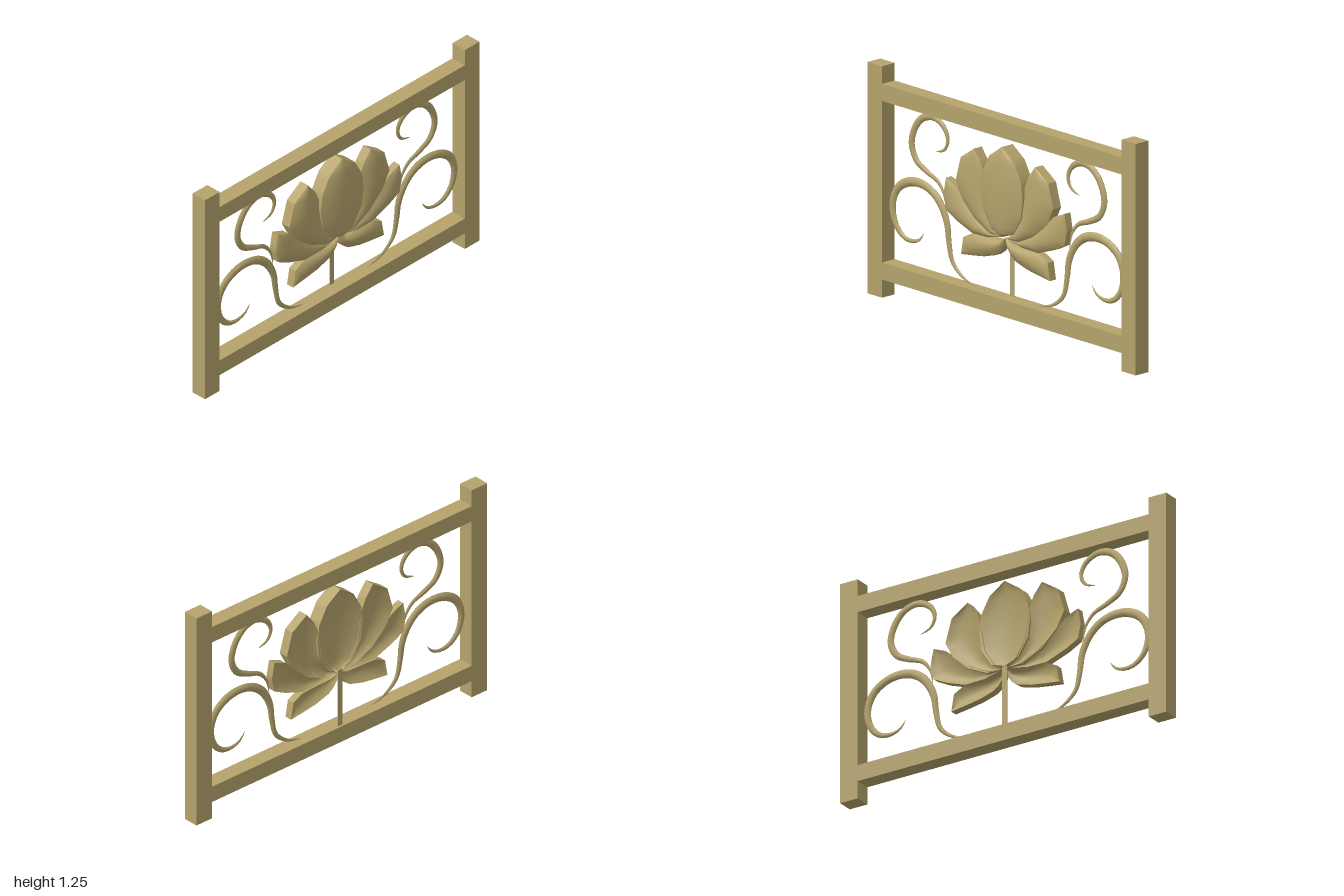
import * as THREE from 'three';
import { toCreasedNormals } from 'three/addons/utils/BufferGeometryUtils.js';

const material = new THREE.MeshStandardMaterial({ color: 0xb5a36c });

// Non-indexed geometry from a list of quads, dropping collapsed triangles
function fromQuads(quads, crease) {
  const pos = [];
  const tri = (a, b, c) => {
    const area = b.clone().sub(a).cross(c.clone().sub(a)).length();
    if (area > 1e-9) for (const p of [a, b, c]) pos.push(p.x, p.y, p.z);
  };
  for (const [a, b, c, d] of quads) { tri(a, b, c); tri(a, c, d); }
  const g = new THREE.BufferGeometry();
  g.setAttribute('position', new THREE.Float32BufferAttribute(pos, 3));
  return toCreasedNormals(g, crease);
}

// Cupped petal: thick sheet between two edges that run from base to tip
function petalGeometry(left, right, back, front, bulge) {
  const sub = 3, cols = 10, rows = (left.length - 1) * sub;
  const along = (edge, i) => {
    const k = Math.min(Math.floor(i / sub), edge.length - 2), f = i / sub - k;
    return edge[k].map((v, n) => v + (edge[k + 1][n] - v) * f);
  };
  const grid = (z0) => Array.from({ length: rows + 1 }, (_, i) => {
    const a = along(left, i), b = along(right, i);
    const swell = bulge * Math.pow(Math.max(0, Math.sin(Math.PI * i / rows)), 0.7);
    return Array.from({ length: cols + 1 }, (_, j) => {
      const f = j / cols, u = 2 * f - 1;
      return new THREE.Vector3(a[0] + (b[0] - a[0]) * f, a[1] + (b[1] - a[1]) * f, z0 + swell * (1 - u * u));
    });
  });
  const F = grid(front), B = grid(back), quads = [];
  for (let i = 0; i < rows; i++) {
    for (let j = 0; j < cols; j++) {
      quads.push([F[i][j], F[i][j + 1], F[i + 1][j + 1], F[i + 1][j]]);
      quads.push([B[i][j], B[i + 1][j], B[i + 1][j + 1], B[i][j + 1]]);
    }
    quads.push([B[i][0], F[i][0], F[i + 1][0], B[i + 1][0]]);
    quads.push([F[i][cols], B[i][cols], B[i + 1][cols], F[i + 1][cols]]);
  }
  return fromQuads(quads, 0.6);
}

// Tapered scroll: flattened oval section swept along a planar curve
function scrollGeometry(points, width) {
  const curve = new THREE.CatmullRomCurve3(points.map(([x, y]) => new THREE.Vector3(x, y, 0)), false, 'centripetal');
  const steps = 48, sides = 8, rings = [];
  for (let i = 0; i <= steps; i++) {
    const t = i / steps, p = curve.getPointAt(t), d = curve.getTangentAt(t);
    const r = width / 2 * Math.pow(Math.max(0, Math.sin(Math.PI * Math.pow(t, 1.1))), 0.65);
    rings.push(Array.from({ length: sides }, (_, j) => {
      const a = j / sides * Math.PI * 2, n = Math.cos(a) * r;
      return new THREE.Vector3(p.x - d.y * n, p.y + d.x * n, Math.sin(a) * r * 0.55);
    }));
  }
  const quads = [];
  for (let i = 0; i < steps; i++) for (let j = 0; j < sides; j++) {
    const k = (j + 1) % sides;
    quads.push([rings[i][j], rings[i][k], rings[i + 1][k], rings[i + 1][j]]);
  }
  return fromQuads(quads, 0.8);
}

export function createModel() {
  const model = new THREE.Group();
  model.name = 'lotusPanel';
  const panel = new THREE.Group();
  panel.name = 'panel';
  panel.rotation.y = 0.193;
  model.add(panel);

  const add = (name, geometry, x = 0, y = 0, z = 0) => {
    const mesh = new THREE.Mesh(geometry, material);
    mesh.name = name;
    mesh.position.set(x, y, z);
    panel.add(mesh);
  };
  const flip = (pts) => pts.map(([x, y]) => [-x, y]);

  // Frame
  const depth = 0.09, half = 1.01, post = 0.108;
  for (const s of [1, -1]) {
    add(s > 0 ? 'leftPost' : 'rightPost', new THREE.BoxGeometry(post, 1.247, depth), s * (half - post / 2), 0.6235, 0);
  }
  const railLength = 2 * (half - post);
  add('bottomRail', new THREE.BoxGeometry(railLength, 0.092, depth), 0, 0.144, 0);
  add('topRail', new THREE.BoxGeometry(railLength, 0.092, depth), 0, 1.106, 0);

  // Stem
  add('stem', new THREE.BoxGeometry(0.031, 0.34, 0.004), 0, 0.355, -0.03);

  // Centre petal
  const centre = [[0, 0.525], [0.08, 0.553], [0.143, 0.65], [0.158, 0.755], [0.145, 0.85], [0.093, 0.945], [0, 1.01]];
  add('centrePetal', petalGeometry(flip(centre), centre, -0.033, 0.045, 0.032));

  // Side petals: inner edge is on the left of the base-to-tip direction
  const petals = [
    { name: 'UpperPetal', back: -0.03, front: 0.025, bulge: 0.028,
      inner: [[0.02, 0.515], [0.07, 0.56], [0.125, 0.65], [0.14, 0.75], [0.152, 0.82], [0.178, 0.88], [0.23, 0.947]],
      outer: [[0.02, 0.515], [0.11, 0.515], [0.225, 0.57], [0.322, 0.66], [0.368, 0.75], [0.33, 0.88], [0.23, 0.947]] },
    { name: 'MiddlePetal', back: -0.022, front: 0.02, bulge: 0.022,
      inner: [[0.02, 0.515], [0.1, 0.525], [0.18, 0.56], [0.25, 0.605], [0.315, 0.66], [0.37, 0.71], [0.447, 0.742]],
      outer: [[0.02, 0.515], [0.13, 0.49], [0.25, 0.487], [0.37, 0.53], [0.447, 0.57], [0.465, 0.65], [0.447, 0.742]] },
    { name: 'LowerPetal', back: -0.025, front: 0.018, bulge: 0.025,
      inner: [[0, 0.515], [0.05, 0.49], [0.12, 0.487], [0.2, 0.485], [0.26, 0.48], [0.318, 0.45], [0.335, 0.355]],
      outer: [[0, 0.515], [0.015, 0.465], [0.04, 0.43], [0.075, 0.405], [0.16, 0.38], [0.25, 0.366], [0.335, 0.355]] },
  ];
  for (const { name, inner, outer, back, front, bulge } of petals) {
    add('left' + name, petalGeometry(inner, outer, back, front, bulge));
    add('right' + name, petalGeometry(flip(outer), flip(inner), back, front, bulge));
  }

  // Scrolls
  const scrolls = [
    { name: 'LowerScroll', width: 0.05,
      path: [[0.235, 0.195], [0.335, 0.222], [0.418, 0.29], [0.445, 0.39], [0.46, 0.49], [0.51, 0.585], [0.58, 0.64],
        [0.67, 0.661], [0.765, 0.643], [0.837, 0.59], [0.87, 0.5], [0.846, 0.4], [0.785, 0.345], [0.713, 0.337], [0.66, 0.36], [0.632, 0.4]] },
    { name: 'UpperScroll', width: 0.042,
      path: [[0.464, 0.555], [0.482, 0.64], [0.53, 0.7], [0.61, 0.733], [0.69, 0.778], [0.726, 0.86], [0.698, 0.957],
        [0.637, 1.02], [0.556, 1.037], [0.482, 1.0], [0.453, 0.94], [0.477, 0.882], [0.545, 0.855]] },
  ];
  for (const { name, width, path } of scrolls) {
    add('left' + name, scrollGeometry(path, width));
    add('right' + name, scrollGeometry(flip(path), width));
  }
  return model;
}
